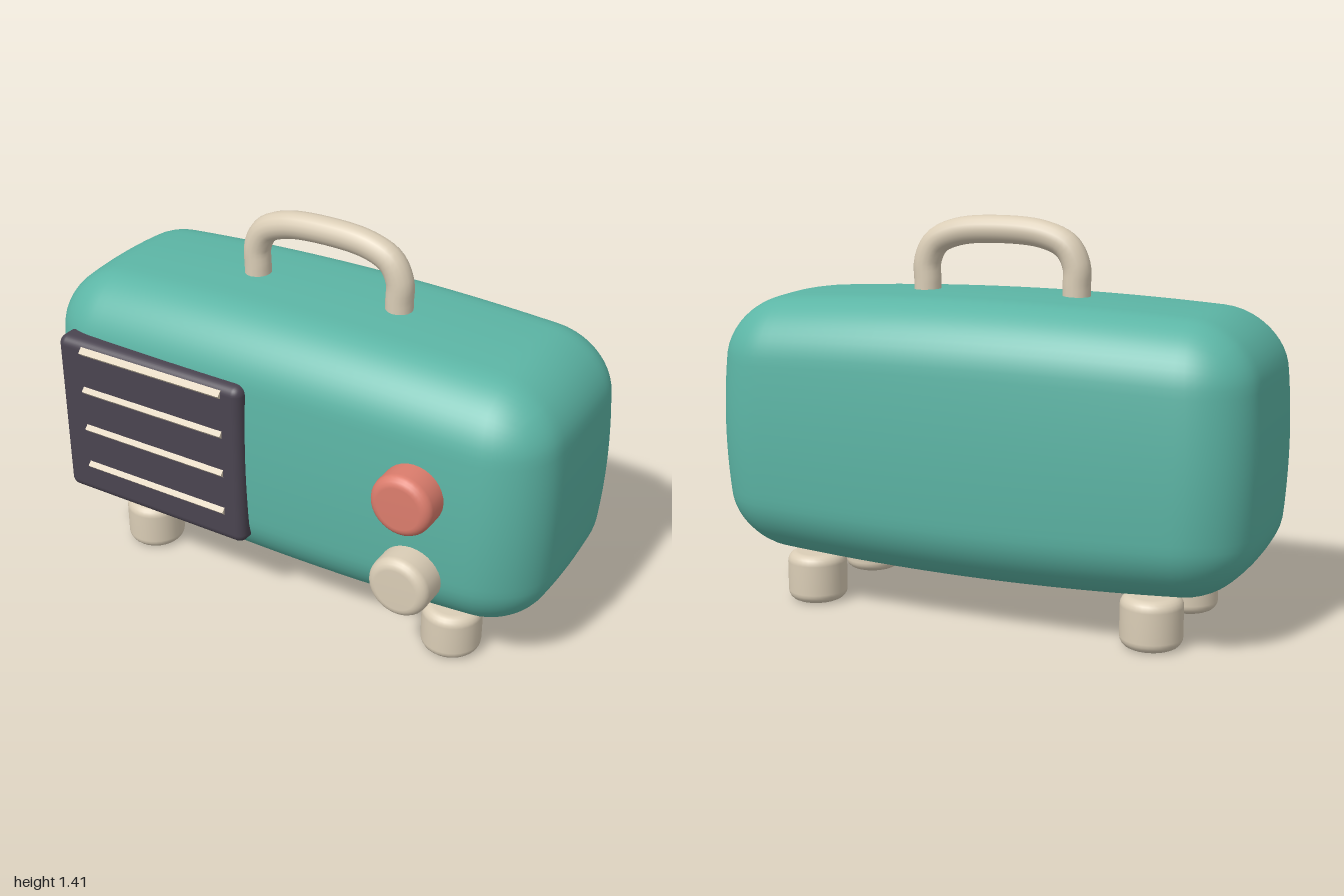
import * as THREE from 'three';
import { mergeVertices } from 'three/addons/utils/BufferGeometryUtils.js';
import { RoundedBoxGeometry } from 'three/addons/geometries/RoundedBoxGeometry.js';

const material = (name, color) => {
  const m = new THREE.MeshStandardMaterial({ color });
  m.name = name;
  return m;
};

// Soft box: rounded edges, with every face swelling gently towards its middle
function softBox(hx, hy, hz, radius) {
  const box = new THREE.BoxGeometry(hx * 2, hy * 2, hz * 2, 56, 30, 26);
  box.deleteAttribute('uv');
  box.deleteAttribute('normal');
  const geometry = mergeVertices(box);
  const pos = geometry.attributes.position;
  const p = new THREE.Vector3();
  const core = new THREE.Vector3();
  const limit = new THREE.Vector3(hx - radius, hy - radius, hz - radius);
  const negLimit = limit.clone().negate();
  for (let i = 0; i < pos.count; i++) {
    p.fromBufferAttribute(pos, i);
    core.copy(p).clamp(negLimit, limit);
    p.sub(core).setLength(radius).add(core);
    const u = (p.x / hx) ** 2, v = (p.y / hy) ** 2, w = (p.z / hz) ** 2;
    pos.setXYZ(i,
      p.x * (1 - 0.035 * v - 0.02 * w),
      p.y * (1 - 0.08 * u - 0.05 * w),
      p.z * (1 - 0.055 * u - 0.08 * v));
  }
  geometry.computeVertexNormals();
  return geometry;
}

// Short cylinder along y with rounded rims, centred on the origin
function softCylinder(radius, height, bevel) {
  const h = height / 2;
  const points = [new THREE.Vector2(0, -h)];
  for (const side of [-1, 1]) {
    for (let i = 0; i <= 5; i++) {
      const a = (side < 0 ? i - 5 : i) / 5 * Math.PI / 2;
      points.push(new THREE.Vector2(
        radius - bevel + bevel * Math.cos(a),
        side * (h - bevel) + bevel * Math.sin(a)));
    }
  }
  points.push(new THREE.Vector2(0, h));
  return new THREE.LatheGeometry(points, 32);
}

export function createModel() {
  const model = new THREE.Group();
  model.name = 'radio';
  const teal = material('teal', 0x5cb5a5);
  const cream = material('cream', 0xdacdb6);
  const charcoal = material('charcoal', 0x4a4450);
  const coral = material('coral', 0xdc7d6d);

  const add = (name, geometry, mat, x, y, z) => {
    const mesh = new THREE.Mesh(geometry, mat);
    mesh.name = name;
    mesh.position.set(x, y, z);
    model.add(mesh);
    return mesh;
  };

  // Case
  add('body', softBox(1, 0.497, 0.425, 0.21), teal, 0, 0.647, -0.045);

  // Speaker panel with four ridged slats
  add('speakerPanel', new RoundedBoxGeometry(0.785, 0.637, 0.11, 4, 0.035), charcoal, -0.468, 0.612, 0.355);
  const slat = new THREE.CylinderGeometry(0.018, 0.018, 0.6, 4).toNonIndexed();
  slat.computeVertexNormals();
  slat.rotateZ(Math.PI / 2);
  for (let i = 0; i < 4; i++) {
    add('speakerSlat', slat, cream, -0.45, 0.42 + i * 0.158, 0.407);
  }

  // Knobs
  const knob = softCylinder(0.112, 0.17, 0.035);
  knob.rotateX(Math.PI / 2);
  add('tuningKnob', knob, coral, 0.57, 0.72, 0.387);
  add('volumeKnob', knob, cream, 0.57, 0.396, 0.387);

  // Feet
  const foot = softCylinder(0.108, 0.18, 0.036);
  for (const x of [-0.645, 0.645]) {
    for (const z of [0.175, -0.255]) add('foot', foot, cream, x, 0.09, z);
  }

  // Carrying handle
  const half = [[0.285, 1.08], [0.285, 1.17], [0.285, 1.24], [0.25, 1.308], [0.165, 1.347]];
  const path = [
    ...half.map(([x, y]) => new THREE.Vector3(-x, y, 0)),
    new THREE.Vector3(0, 1.361, 0),
    ...half.slice().reverse().map(([x, y]) => new THREE.Vector3(x, y, 0)),
  ];
  const curve = new THREE.CatmullRomCurve3(path);
  add('handle', new THREE.TubeGeometry(curve, 48, 0.049, 16), cream, 0, 0, -0.043);

  return model;
}
